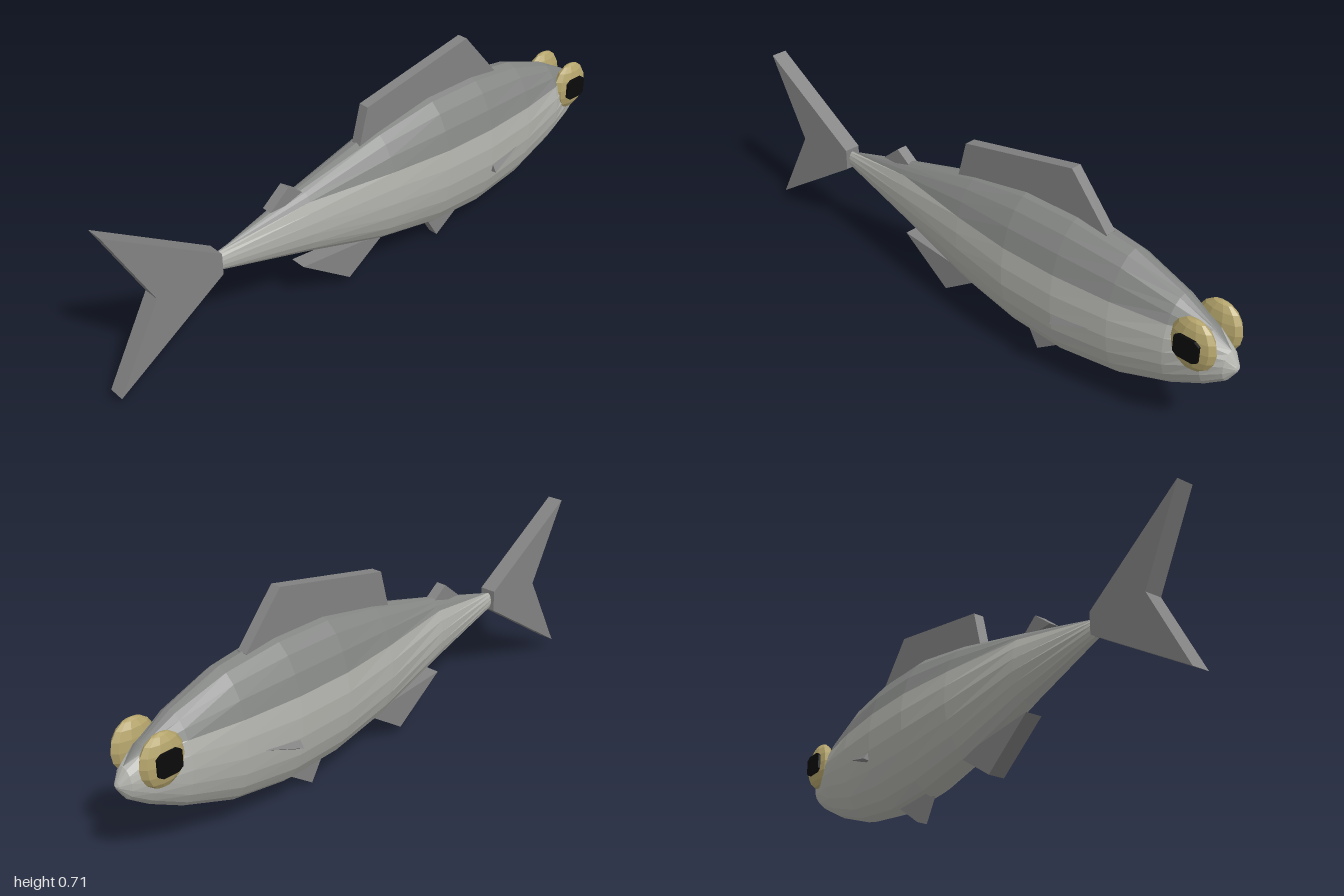
import * as THREE from 'three';
import { ConvexGeometry } from 'three/addons/geometries/ConvexGeometry.js';

const mat = (name, color, side = THREE.FrontSide) => {
  const m = new THREE.MeshStandardMaterial({ color, flatShading: true, side });
  m.name = name;
  return m;
};

// Body stations along x: [x, bottom y, top y, half width]
const STATIONS = [
  [-0.625, 0.31, 0.33, 0.004], [-0.62, 0.29, 0.35, 0.016], [-0.3, 0.205, 0.44, 0.062],
  [0, 0.117, 0.52, 0.105], [0.22, 0.078, 0.562, 0.128], [0.42, 0.07, 0.564, 0.129],
  [0.62, 0.1, 0.538, 0.112], [0.8, 0.167, 0.475, 0.085], [0.91, 0.225, 0.415, 0.06],
  [0.97, 0.268, 0.37, 0.035], [0.995, 0.308, 0.332, 0.012], [1, 0.319, 0.321, 0.002],
];
const BACK_LINE = 0.405; // height where the dark back begins

// Skin strip through all stations, either above or below the back line
function skin(upper, segments) {
  const pos = [], index = [];
  STATIONS.forEach(([x, bottom, top, width]) => {
    const cy = (top + bottom) / 2, h = (top - bottom) / 2;
    const cut = Math.acos(THREE.MathUtils.clamp((cy - BACK_LINE) / h, -1, 1));
    const from = upper ? cut : -cut;
    const to = upper ? 2 * Math.PI - cut : cut;
    for (let j = 0; j <= segments; j++) {
      const t = from + (to - from) * j / segments;
      pos.push(x, cy - h * Math.cos(t), width * Math.sin(t));
    }
  });
  const row = segments + 1;
  for (let i = 0; i < STATIONS.length - 1; i++) {
    for (let j = 0; j < segments; j++) {
      const a = i * row + j, b = a + row;
      index.push(a, b, b + 1, a, b + 1, a + 1);
    }
  }
  const g = new THREE.BufferGeometry();
  g.setAttribute('position', new THREE.Float32BufferAttribute(pos, 3));
  g.setIndex(index);
  g.computeVertexNormals();
  return g;
}

// Flat fin outline extruded evenly about the middle plane
function fin(points, thickness) {
  const shape = new THREE.Shape(points.map(([x, y]) => new THREE.Vector2(x, y)));
  return new THREE.ExtrudeGeometry(shape, { depth: thickness, bevelEnabled: false })
    .translate(0, 0, -thickness / 2);
}

export function createModel() {
  const model = new THREE.Group();
  model.name = 'fish';
  const sideGrey = mat('pale side grey', 0xb2b2ad);
  const backGrey = mat('back grey', 0x848684);
  const finGrey = mat('fin grey', 0x828382);
  const eyeGold = mat('eye gold', 0xb5a56c);
  const pupilBlack = mat('pupil black', 0x0a0a0a);

  const add = (name, geometry, material) => {
    const mesh = new THREE.Mesh(geometry, material);
    mesh.name = name;
    model.add(mesh);
    return mesh;
  };

  // Body
  add('sidesAndBelly', skin(false, 14), sideGrey);
  add('back', skin(true, 8), backGrey);

  // Fins on the middle plane
  add('tailFin', fin([[-1, 0.597], [-0.85, 0.32], [-1, 0.04], [-0.62, 0.29], [-0.62, 0.362]], 0.056), finGrey);
  add('dorsalFin', fin([[-0.08, 0.47], [0.52, 0.53], [0.53, 0.548], [0.39, 0.71], [-0.04, 0.62]], 0.036), finGrey);
  add('adiposeFin', fin([[-0.43, 0.412], [-0.28, 0.412], [-0.36, 0.47]], 0.036), finGrey);
  add('analFin', fin([[-0.32, 0.165], [-0.13, 0.03], [0.01, 0.125], [-0.08, 0.145]], 0.056), finGrey);
  add('pelvicFin', fin([[0.22, 0.1], [0.28, 0], [0.4, 0.085]], 0.036), finGrey);

  // Paired parts
  for (const s of [1, -1]) {
    const label = s > 0 ? 'Front' : 'Back';
    const pts = [
      [0.43, 0.27, 0.1], [0.43, 0.235, 0.1], [0.43, 0.265, 0.126],
      [0.43, 0.243, 0.14], [0.45, 0.24, 0.12], [0.58, 0.29, 0.112],
    ].map(([x, y, z]) => new THREE.Vector3(x, y, z * s));
    add('pectoralFin' + label, new ConvexGeometry(pts), finGrey);

    const eye = add('eye' + label, new THREE.SphereGeometry(1, 10, 8), eyeGold);
    eye.scale.set(0.078, 0.085, 0.031);
    eye.position.set(0.885, 0.38, 0.061 * s);

    // Thin squarish pupil with clipped corners
    const pupil = fin([
      [-0.042, -0.026], [-0.026, -0.037], [0.026, -0.037], [0.042, -0.026],
      [0.042, 0.026], [0.026, 0.037], [-0.026, 0.037], [-0.042, 0.026],
    ], 0.009);
    add('pupil' + label, pupil, pupilBlack).position.set(0.883, 0.38, 0.0915 * s);
  }
  return model;
}
